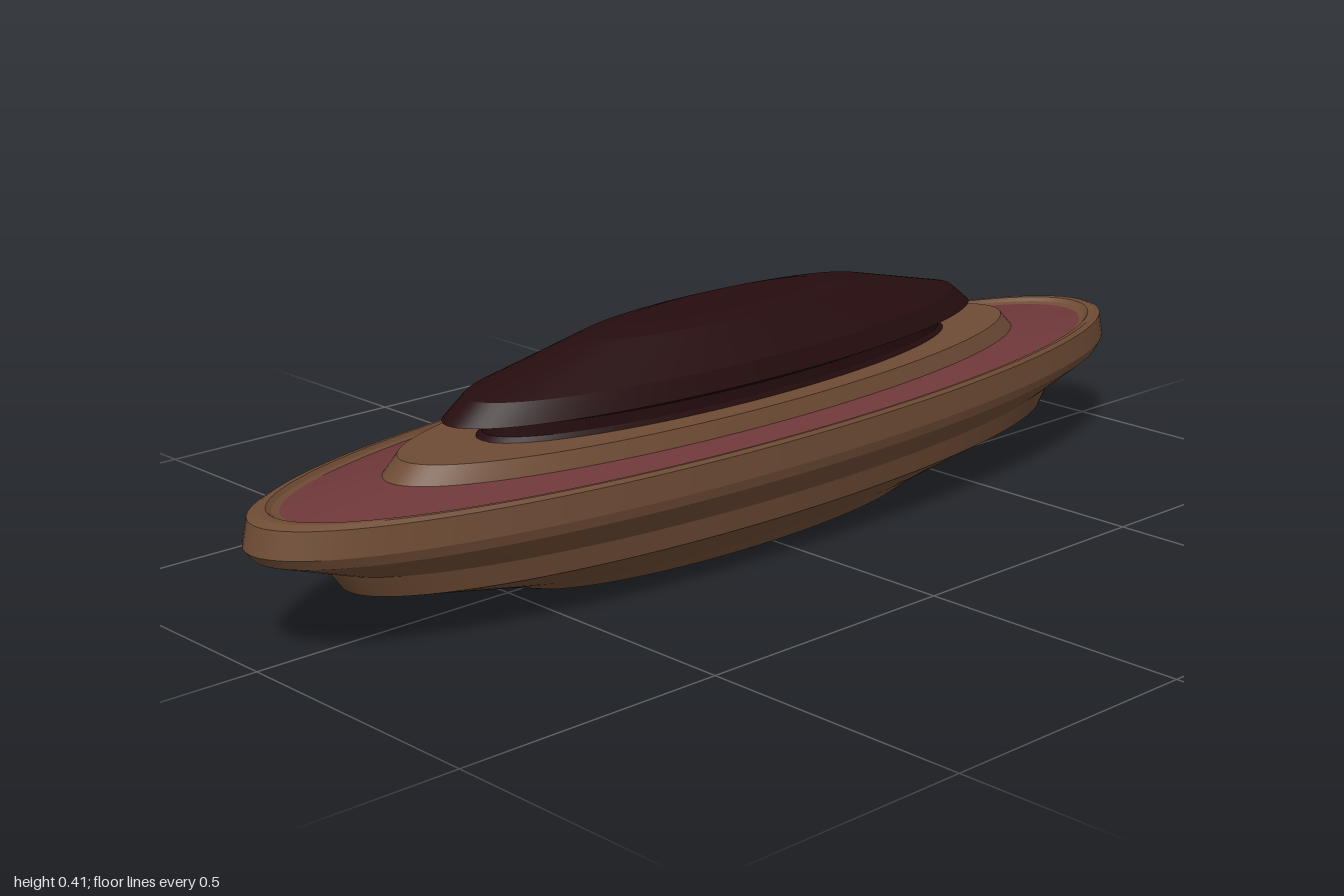
import * as THREE from 'three';
import { mergeGeometries } from 'three/addons/utils/BufferGeometryUtils.js';

const DEPTH = 0.264; // every ring is an ellipse: depth / width
const SEGMENTS = 96;

function material(name, color) {
  const m = new THREE.MeshStandardMaterial({ color });
  m.name = name;
  return m;
}

// Elliptical turned part: smooth around, sharp edge between profile bands.
// Profile points are [x radius, y], running bottom to top along the outside.
function turned(name, profile, mat) {
  const bands = [];
  for (let i = 0; i < profile.length - 1; i++) {
    const pair = [profile[i], profile[i + 1]].map(([r, y]) => new THREE.Vector2(r, y));
    bands.push(new THREE.LatheGeometry(pair, SEGMENTS));
  }
  const geometry = mergeGeometries(bands);
  geometry.scale(1, 1, DEPTH);
  const mesh = new THREE.Mesh(geometry, mat);
  mesh.name = name;
  return mesh;
}

export function createModel() {
  const brown = material('brown', 0x6f4c35);
  const red = material('dull red', 0x6f383a);
  const dark = material('dark maroon', 0x260d0f);

  const model = new THREE.Group();
  model.name = 'ovalDish';

  model.add(
    // stepped bowl with a raised rim
    turned('bowl', [
      [0, 0], [0.46, 0], [0.545, 0.026], [0.822, 0.085], [0.852, 0.125],
      [0.985, 0.172], [1, 0.19], [0.99, 0.235], [0.972, 0.241],
      [0.955, 0.241], [0.945, 0.234], [0.93, 0.231],
    ], brown),
    // inlaid red surface inside the rim
    turned('inlay', [[0.93, 0.231], [0.735, 0.246]], red),
    // raised collar under the cap
    turned('collar', [[0.735, 0.246], [0.705, 0.275], [0.53, 0.275]], brown),
    // waisted neck and domed cap
    turned('cap', [
      [0.547, 0.275], [0.535, 0.283], [0.535, 0.303], [0.615, 0.314],
      [0.57, 0.348], [0.33, 0.405], [0.23, 0.414], [0, 0.414],
    ], dark),
  );
  return model;
}
